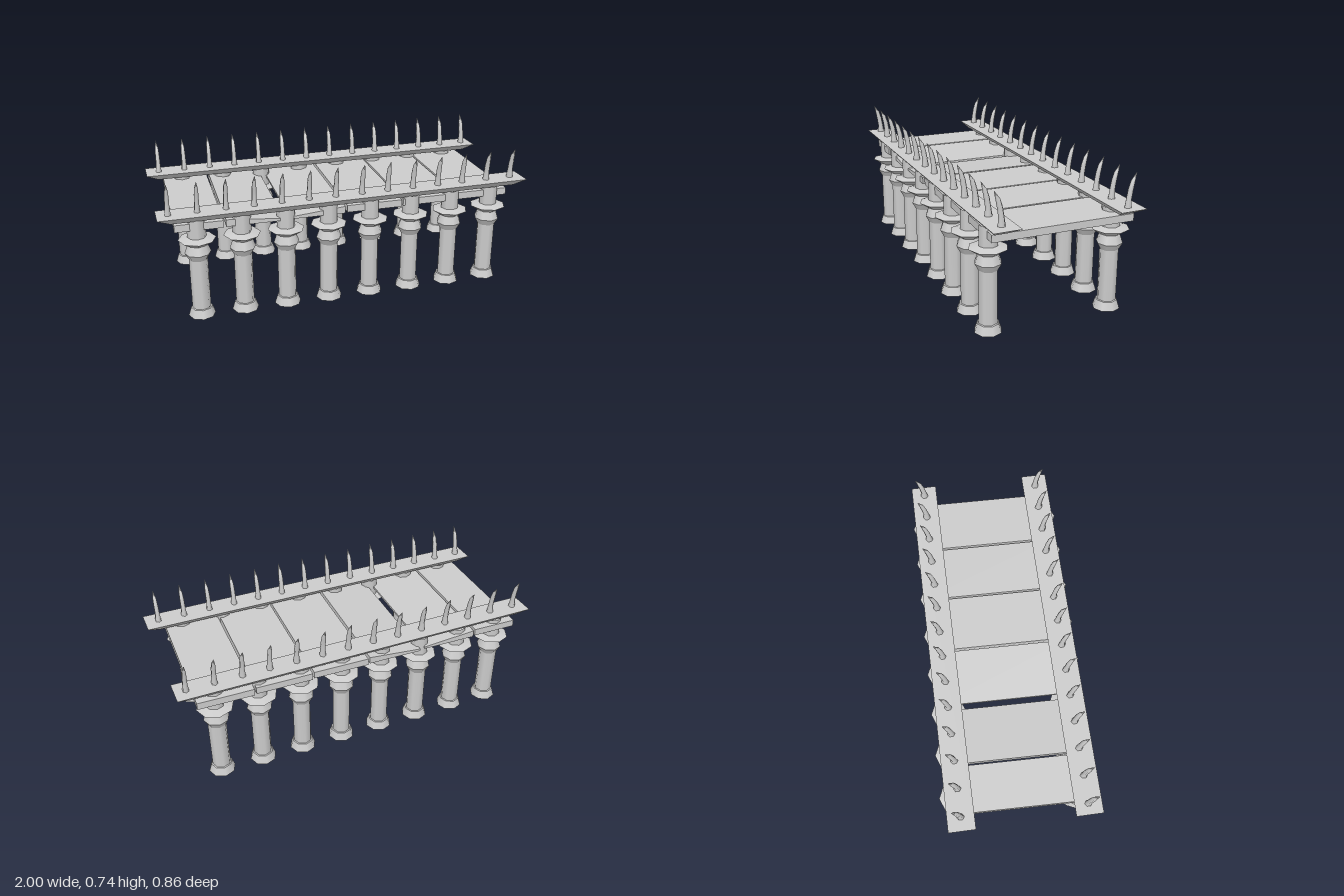
import * as THREE from 'three';
import { mergeVertices } from 'three/addons/utils/BufferGeometryUtils.js';

const material = new THREE.MeshStandardMaterial({ color: 0xcccccc });
const flat = new THREE.MeshStandardMaterial({ color: 0xcccccc, flatShading: true });

function add(parent, name, geometry, mat = material) {
  const mesh = new THREE.Mesh(geometry, mat);
  mesh.name = name;
  parent.add(mesh);
  return mesh;
}

// Eight-sided column: stacked rings, each smooth around with crisp seams
const columnProfile = [
  [0.070, 0], [0.055, 0.045], [0.048, 0.047], [0.048, 0.32],
  [0.067, 0.355], [0.051, 0.40], [0.096, 0.43], [0.048, 0.442], [0.048, 0.545],
];
const columnParts = ['columnBase', 'baseLip', 'shaft', 'lowerBulge', 'upperBulge', 'capitalFlare', 'capitalTop', 'neck'];

function makeColumn() {
  const column = new THREE.Group();
  column.name = 'column';
  columnParts.forEach((name, i) => {
    const [r0, y0] = columnProfile[i];
    const [r1, y1] = columnProfile[i + 1];
    const ring = add(column, name, new THREE.CylinderGeometry(r1, r0, y1 - y0, 8, 1, true));
    ring.position.y = (y0 + y1) / 2;
  });
  const foot = add(column, 'columnFoot', new THREE.CircleGeometry(0.070, 8, Math.PI / 2));
  foot.rotation.x = Math.PI / 2;
  return column;
}

// Rail whose underside is narrower and shorter than its top
function railGeometry() {
  const geometry = new THREE.BoxGeometry(1.988, 0.035, 0.14);
  const p = geometry.attributes.position;
  for (let i = 0; i < p.count; i++) {
    if (p.getY(i) < 0) {
      p.setX(i, p.getX(i) * 0.935);
      p.setZ(i, p.getZ(i) * 0.54);
    }
  }
  return geometry;
}

// Tapered spike curving outward, lofted by bending a cone of stacked sections
function spikeGeometry() {
  // height, outward offset, radius
  const sections = [[0, 0, 0.02], [0.045, 0.002, 0.015], [0.09, 0.009, 0.0145], [0.13, 0.019, 0.012], [0.17, 0.038, 0.001]];
  const sides = 6;
  const positions = [];
  const index = [];
  sections.forEach(([y, z, r], s) => {
    for (let k = 0; k < sides; k++) {
      const a = (k / sides) * Math.PI * 2;
      positions.push(r * 0.85 * Math.sin(a), y, z + r * Math.cos(a));
      if (s === 0) continue;
      const n = (k + 1) % sides;
      const lo = (s - 1) * sides;
      const hi = s * sides;
      index.push(lo + k, lo + n, hi + n, lo + k, hi + n, hi + k);
    }
  });
  const geometry = new THREE.BufferGeometry();
  geometry.setAttribute('position', new THREE.Float32BufferAttribute(positions, 3));
  geometry.setIndex(index);
  const merged = mergeVertices(geometry);
  merged.computeVertexNormals();
  return merged;
}

// One colonnade side: columns, rail and spikes
function makeSide(name) {
  const side = new THREE.Group();
  side.name = name;
  for (let i = 0; i < 8; i++) {
    const x = -0.797 + i * 0.2285;
    const column = makeColumn();
    column.position.set(x, 0, 0.325 - 0.0137 * x);
    side.add(column);
  }
  const top = new THREE.Group();
  top.name = 'railWithSpikes';
  top.position.set(0.006, 0.5575, 0.323);
  top.rotation.y = 0.0225;
  side.add(top);
  add(top, 'rail', railGeometry(), flat);
  const spike = spikeGeometry();
  for (let i = 0; i < 14; i++) {
    add(top, 'spike', spike).position.set(-0.936 + i * 0.143, 0.017, 0);
  }
  return side;
}

// Deck slab; the two corner heights let a slab thin out toward one edge
function slabGeometry(x0, x1, topLeft, topRight) {
  const shape = new THREE.Shape([
    new THREE.Vector2(x0, 0.487), new THREE.Vector2(x1, 0.487),
    new THREE.Vector2(x1, topRight), new THREE.Vector2(x0, topLeft),
  ]);
  return new THREE.ExtrudeGeometry(shape, { depth: 0.738, bevelEnabled: false });
}

export function createModel() {
  const model = new THREE.Group();
  model.name = 'spikedColonnadeBridge';

  // The two sides match under a half turn
  const front = makeSide('frontSide');
  const back = makeSide('backSide');
  back.rotation.y = Math.PI;
  model.add(front, back);

  // Deck of six slabs, two of them worn thin where they meet
  const slabs = [
    [-0.907, -0.663, 0.525, 0.525], [-0.65, -0.353, 0.525, 0.499], [-0.322, -0.028, 0.499, 0.525],
    [-0.015, 0.285, 0.525, 0.525], [0.295, 0.594, 0.525, 0.525], [0.605, 0.896, 0.525, 0.525],
  ];
  slabs.forEach(([x0, x1, a, b]) => {
    const slab = add(model, 'deckSlab', slabGeometry(x0, x1, a, b), flat);
    slab.position.z = -0.386 - 0.022 * (x0 + x1) / 2;
  });
  return model;
}
